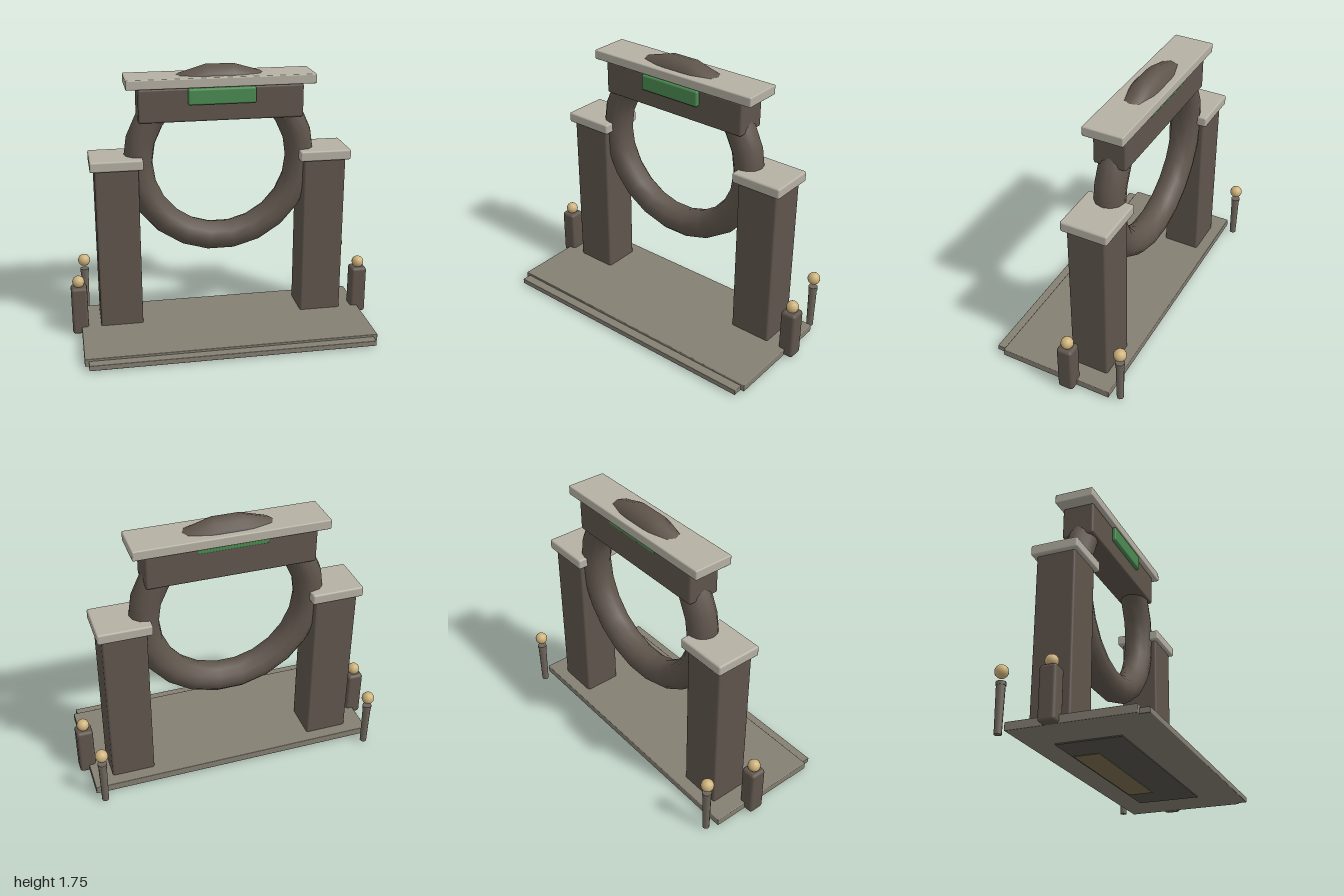
import * as THREE from 'three';
import { RoundedBoxGeometry } from 'three/addons/geometries/RoundedBoxGeometry.js';

const mat = (color) => new THREE.MeshStandardMaterial({ color });

export function createModel() {
  const root = new THREE.Group();
  const darkStone = mat(0x5f554c), paleStone = mat(0xb5b0a4), paving = mat(0x847f73);
  const postStone = mat(0x6e665c), gold = mat(0xcdb27c), green = mat(0x4a8a50);
  const shadow = mat(0x55534c), tan = mat(0x7a6c4c);

  const add = (name, geometry, material, x = 0, y = 0, z = 0) => {
    const mesh = new THREE.Mesh(geometry, material);
    mesh.name = name;
    mesh.position.set(x, y, z);
    root.add(mesh);
    return mesh;
  };
  // Softly bevelled block given by its extents
  const block = (name, material, [x0, x1], [y0, y1], [z0, z1], bevel = 0.008) =>
    add(name, new RoundedBoxGeometry(x1 - x0, y1 - y0, z1 - z0, 2, bevel), material,
      (x0 + x1) / 2, (y0 + y1) / 2, (z0 + z1) / 2);

  // Platform, front step and the thin layers beneath
  block('platform', paving, [-0.94, 0.94], [0.01, 0.06], [-0.36, 0.4], 0.005);
  block('frontStep', paving, [-0.915, 0.915], [0.01, 0.045], [0.38, 0.46], 0.004);
  add('underLayer', new THREE.BoxGeometry(1.3, 0.008, 0.4), shadow, 0, 0.007, 0);
  add('underPanel', new THREE.BoxGeometry(0.86, 0.004, 0.16), tan, 0, 0.002, -0.11);

  // Round gate ring, whose crown breaks through the top slab
  add('ring', new THREE.TorusGeometry(0.53, 0.095, 12, 22), darkStone, 0, 1.133, -0.16);

  // Lintel, slab and sign panels
  block('lintel', darkStone, [-0.525, 0.525], [1.41, 1.625], [-0.265, -0.055], 0.014);
  block('topSlab', paleStone, [-0.6, 0.6], [1.628, 1.69], [-0.287, -0.03]);
  block('frontSign', green, [-0.215, 0.215], [1.52, 1.622], [-0.08, -0.03], 0.012);
  block('backSign', green, [-0.215, 0.215], [1.595, 1.622], [-0.268, -0.24], 0.003);

  // Mirrored pillars, caps and bollards
  for (const s of [1, -1]) {
    const side = s > 0 ? 'left' : 'right';
    const span = (a, b) => (s > 0 ? [a, b] : [-b, -a]);
    block(side + 'Pillar', darkStone, span(0.535, 0.812), [0.03, 1.13], [-0.283, -0.035], 0.014);
    block(side + 'PillarCap', paleStone, span(0.505, 0.84), [1.122, 1.19], [-0.31, -0.01], 0.012);

    block(side + 'SidePost', darkStone, span(0.893, 0.998), [0.01, 0.335], [-0.14, -0.036], 0.02);
    add(side + 'SideBall', new THREE.SphereGeometry(0.04, 14, 10), gold, s * 0.946, 0.366, -0.088);

    add(side + 'BackPost', new THREE.CylinderGeometry(0.027, 0.022, 0.29, 10), postStone, s * 0.896, 0.155, -0.42);
    add(side + 'BackPostCollar', new THREE.CylinderGeometry(0.03, 0.03, 0.022, 10), postStone, s * 0.896, 0.304, -0.42);
    add(side + 'BackBall', new THREE.SphereGeometry(0.041, 14, 10), gold, s * 0.896, 0.377, -0.42);
  }
  return root;
}
